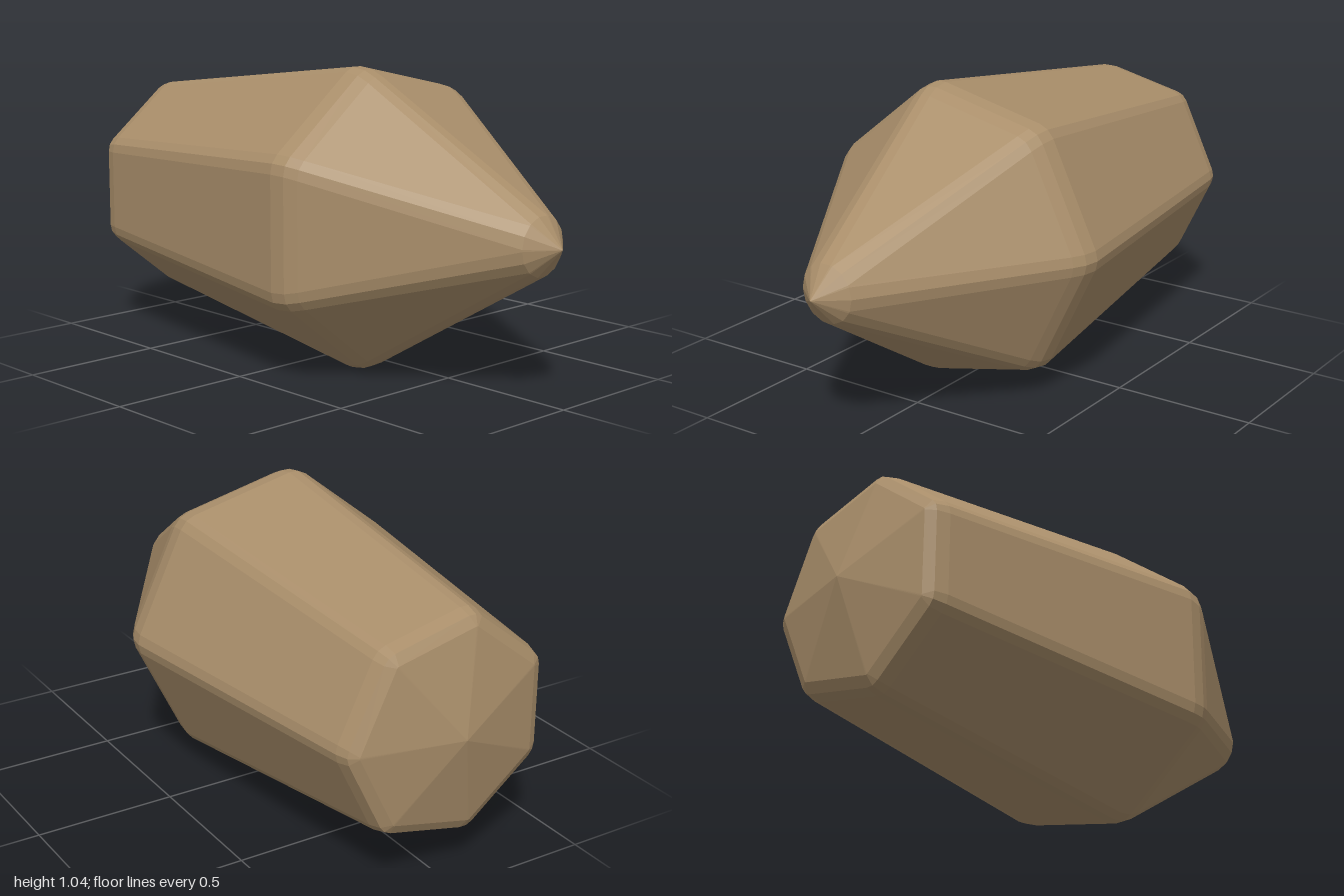
import * as THREE from 'three';

const SIDES = 7;
const HALF = Math.PI / SIDES;

// Heptagon with bevelled corners (3 points each), vertex towards +x.
// R is the sharp corner radius, h the half width of the bevel.
function section([z, R, h]) {
  const drop = h * Math.tan(HALF);
  const rr = h / Math.sin(HALF);
  const mid = R - (rr / Math.cos(HALF) - rr);
  const pts = [];
  for (let i = 0; i < SIDES; i++) {
    const a = 2 * HALF * i, c = Math.cos(a), s = Math.sin(a);
    for (const [u, v] of [[R - drop, -h], [mid, 0], [R - drop, h]]) {
      pts.push(new THREE.Vector3(u * c - v * s, u * s + v * c, z));
    }
  }
  return pts;
}

// Faceted skin through sections ordered from front to back; a lone z makes a point
function loft(name, rings, material) {
  const n = SIDES * 3;
  const loops = rings.map(r => r.length === 1
    ? Array.from({ length: n }, () => new THREE.Vector3(0, 0, r[0]))
    : section(r));
  const points = [];
  const tri = (a, b, c) => {
    if (!a.equals(b) && !b.equals(c) && !c.equals(a)) points.push(a, b, c);
  };
  for (let i = 0; i < loops.length - 1; i++) {
    for (let j = 0; j < n; j++) {
      const k = (j + 1) % n, p = loops[i], q = loops[i + 1];
      tri(p[j], q[j], p[k]);
      tri(p[k], q[j], q[k]);
    }
  }
  const geometry = new THREE.BufferGeometry().setFromPoints(points);
  geometry.computeVertexNormals(); // unshared corners give flat facets
  const mesh = new THREE.Mesh(geometry, material);
  mesh.name = name;
  return mesh;
}

export function createModel() {
  const stone = new THREE.MeshStandardMaterial({ color: 0xa98e6a });
  stone.name = 'tan stone';

  // Section list: z, corner radius, bevel half width
  const tipEnd = [0.92, 0.11, 0.04];
  const shoulder = [0.28, 0.513, 0.035];
  const backRim = [-0.925, 0.35, 0.004];

  const crystal = new THREE.Group();
  crystal.name = 'crystal';
  crystal.position.set(-0.023, 0.523, 0);
  crystal.add(
    loft('frontTip', [[1], tipEnd], stone),
    loft('frontPoint', [tipEnd, shoulder], stone),
    loft('shaft', [
      shoulder,
      [0.235, 0.535, 0.035],
      [0.18, 0.543, 0.035],
      [-0.86, 0.403, 0.03],
      [-0.905, 0.388, 0.025],
      backRim,
    ], stone),
    loft('backCap', [backRim, [-1]], stone),
  );

  const model = new THREE.Group();
  model.name = 'model';
  model.add(crystal);
  return model;
}
